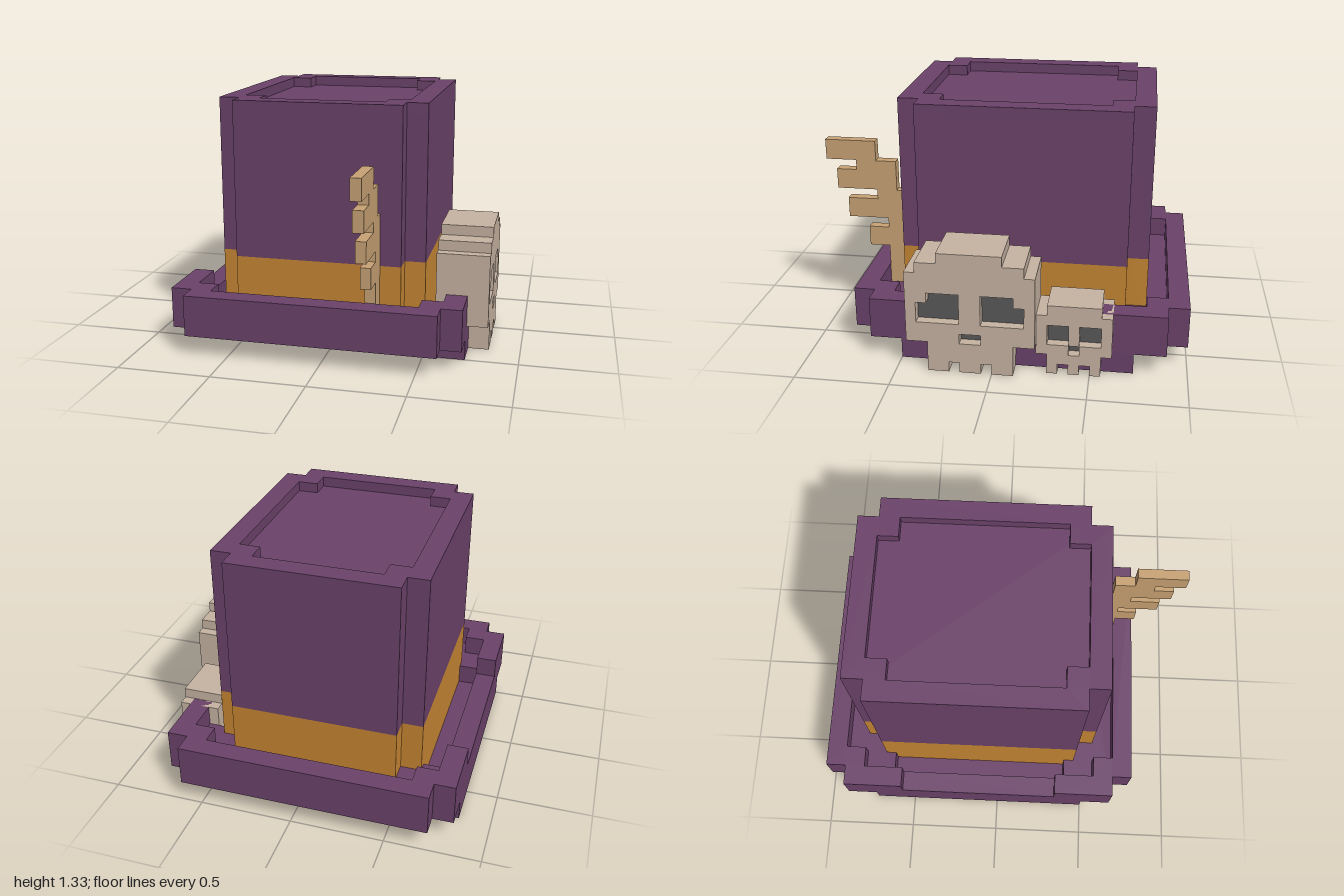
import * as THREE from 'three';

const U = 1 / 18; // one block of the model

const mat = (name, color, side = THREE.FrontSide) => {
  const m = new THREE.MeshStandardMaterial({ color, side });
  m.name = name;
  return m;
};

const toShape = (pts) => new THREE.Shape(pts.map(([x, y]) => new THREE.Vector2(x, y)));
const toPath = (pts) => new THREE.Path(pts.map(([x, y]) => new THREE.Vector2(x, y)));
const rect = (a, b, c, d) => [[a, b], [c, b], [c, d], [a, d]];

// Rectangle with a square step cut out of each corner
const notched = (hx, hz, n = 2) => [
  [-hx, -hz + n], [-hx + n, -hz + n], [-hx + n, -hz], [hx - n, -hz], [hx - n, -hz + n], [hx, -hz + n],
  [hx, hz - n], [hx - n, hz - n], [hx - n, hz], [-hx + n, hz], [-hx + n, hz - n], [-hx, hz - n],
];

function extrude(pts, depth, holes = []) {
  const s = toShape(pts);
  s.holes = holes.map(toPath);
  return new THREE.ExtrudeGeometry(s, { depth, bevelEnabled: false });
}

// Flat outline (x, -z) raised from y0 to y1
function slab(name, pts, y0, y1, material, holes) {
  const g = extrude(pts, y1 - y0, holes).rotateX(-Math.PI / 2).translate(0, y0, 0);
  const m = new THREE.Mesh(g, material);
  m.name = name;
  return m;
}

// Side outline (-z, y) running from x0 to x1
function sidePlate(name, pts, x0, x1, material, holes) {
  const g = extrude(pts, x1 - x0, holes).rotateY(Math.PI / 2).translate(x0, 0, 0);
  const m = new THREE.Mesh(g, material);
  m.name = name;
  return m;
}

// Skull: solid back, pierced face layer and dark socket floors
function skull(name, outline, sockets, x0, x1, bone, dark) {
  const g = new THREE.Group();
  g.name = name;
  g.add(sidePlate('skullBack', outline, x0, x1 - 1, bone));
  g.add(sidePlate('skullFace', outline, x1 - 1, x1, bone, sockets));
  sockets.forEach((s) => g.add(sidePlate('socket', s, x1 - 1, x1 - 0.95, dark)));
  return g;
}

export function createModel() {
  const purple = mat('purpleFelt', 0x6b426a);
  const orange = mat('orangeBand', 0xc68633);
  const bone = mat('bone', 0xc6b3a2);
  const dark = mat('socketGrey', 0x585858);
  const tan = mat('featherTan', 0xc8a274);

  const root = new THREE.Group();
  root.name = 'skullHat';
  const model = new THREE.Group();
  model.name = 'blocks';
  model.scale.setScalar(U);
  root.add(model);

  // Hat, symmetric about its own centre
  const hat = new THREE.Group();
  hat.name = 'hat';
  hat.position.set(-1, 0, -2);
  model.add(hat);
  hat.add(slab('hatBand', notched(10, 12), 2, 9, orange));
  hat.add(slab('crown', notched(10, 12), 9, 23, purple));
  hat.add(slab('crownLip', notched(10, 12), 23, 24, purple, [notched(8, 10)]));

  // Brim: low middle with side rims, raised front and back ends
  hat.add(slab('brimMiddle', rect(-14, -11, 14, 11), 0, 2, purple));
  for (const s of [-1, 1]) {
    hat.add(slab('sideRim', rect(s * 13 - 1, -9, s * 13 + 1, 9), 2, 4, purple));
    const flip = (pts) => pts.map(([x, z]) => [x, z * s]);
    hat.add(slab('brimEnd', flip([
      [-14, 9], [14, 9], [14, 14], [12, 14], [12, 16], [-12, 16], [-12, 14], [-14, 14],
    ]), 2, 4, purple));
    hat.add(slab('endRim', flip([
      [14, 8], [14, 14], [12, 14], [12, 16], [-12, 16], [-12, 14], [-14, 14], [-14, 8],
      [-12, 8], [-12, 12], [-10, 12], [-10, 14], [10, 14], [10, 12], [12, 12], [12, 8],
    ]), 4, 6, purple));
  }

  // Large skull
  model.add(skull('largeSkull', [
    [-6, 0], [-4, 0], [-4, 1], [-3, 1], [-3, 0], [-1, 0], [-1, 1], [0, 1], [0, 0], [2, 0],
    [2, 3], [4, 3], [4, 10], [3, 10], [3, 11], [1, 11], [1, 12],
    [-5, 12], [-5, 11], [-7, 11], [-7, 10], [-8, 10], [-8, 3], [-6, 3],
  ], [
    [[-7, 5], [-3, 5], [-3, 8], [-6, 8], [-6, 7.4], [-7, 7.4]].map(([x, y]) => [x, y === 7.4 ? 7 : y]),
    [[-1, 5], [3, 5], [3, 7], [2, 7], [2, 8], [-1, 8]],
    rect(-3, 3, -1, 4),
  ], 10, 15, bone, dark));

  // Small skull
  model.add(skull('smallSkull', [
    [5, 0], [6, 0], [6, 1], [7, 1], [7, 0], [8, 0], [8, 1], [9, 1], [9, 0], [10, 0],
    [10, 2], [11, 2], [11, 6], [10, 6], [10, 7], [5, 7], [5, 6], [4, 6], [4, 2], [5, 2],
  ], [
    rect(5.01, 3, 7, 5), rect(8, 3, 9.99, 5), rect(7.01, 2, 7.99, 2.99),
  ], 10, 14, bone, dark));

  // Feather with stepped barbs
  model.add(sidePlate('feather', [
    [-10, 4], [-10, 14], [-11, 14], [-11, 17], [-13, 17], [-13, 19], [-18, 19], [-18, 17],
    [-15, 17], [-15, 16], [-17, 16], [-17, 14], [-13, 14], [-13, 13], [-16, 13], [-16, 11],
    [-12, 11], [-12, 10], [-14, 10], [-14, 8], [-12, 8], [-12, 4],
  ], 4, 5, tan));

  return root;
}
